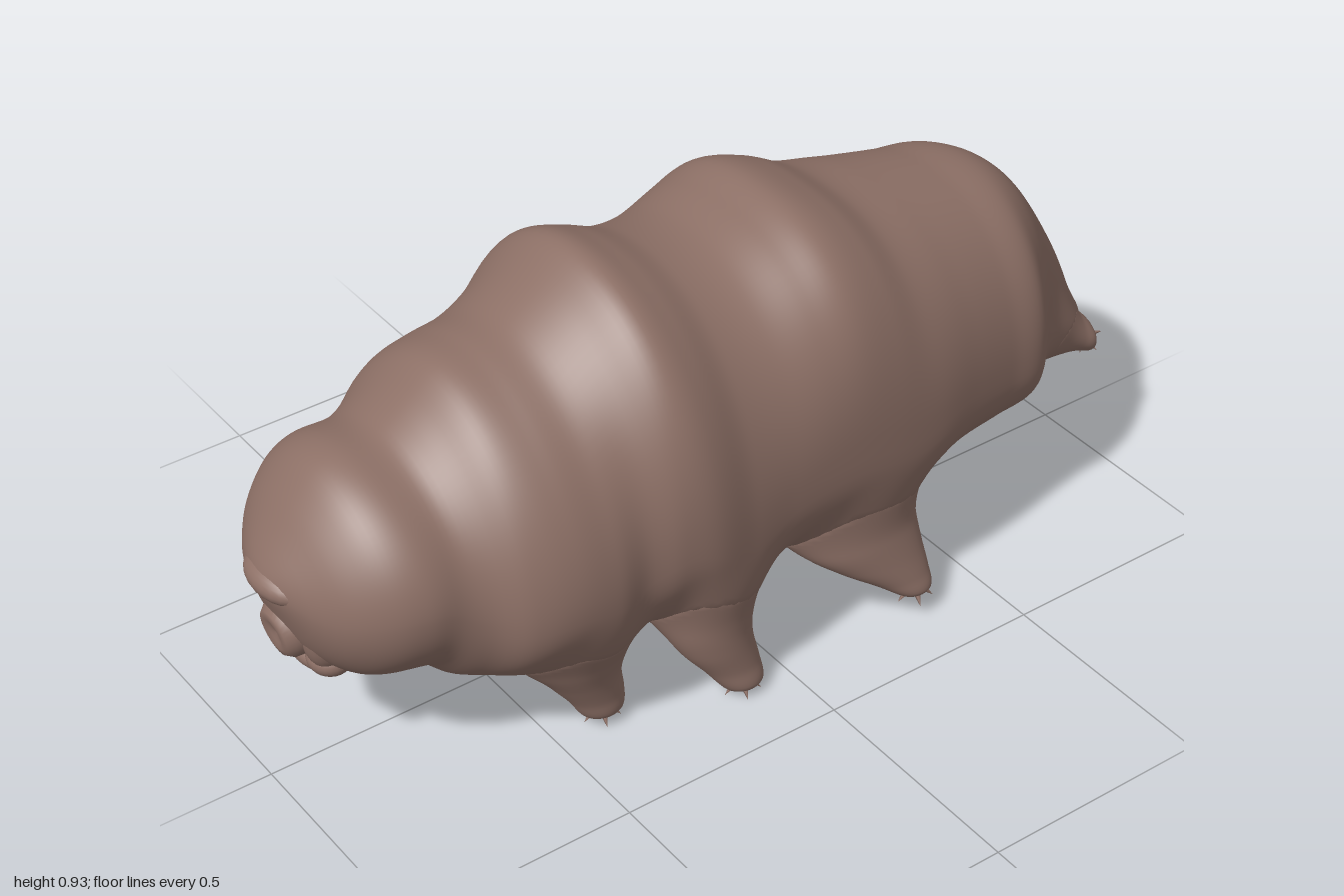
import * as THREE from 'three';

const skin = new THREE.MeshStandardMaterial({ color: 0x8d7066 });
skin.name = 'brown skin';

const V = (x, y, z) => new THREE.Vector3(x, y, z);

// Closed smooth surface through a list of equally sized rings
function loft(rings) {
  const n = rings[0].length, pos = [], idx = [];
  rings.forEach(r => r.forEach(p => pos.push(p.x, p.y, p.z)));
  for (let i = 0; i < rings.length - 1; i++) {
    for (let j = 0; j < n; j++) {
      const k = (j + 1) % n;
      const a = i * n + j, b = i * n + k, c = a + n, d = b + n;
      idx.push(a, b, c, b, d, c);
    }
  }
  for (const [i, flip] of [[0, true], [rings.length - 1, false]]) {
    const mid = rings[i].reduce((s, p) => s.add(p), V(0, 0, 0)).divideScalar(n);
    const m = pos.length / 3;
    pos.push(mid.x, mid.y, mid.z);
    for (let j = 0; j < n; j++) {
      const a = i * n + j, b = i * n + (j + 1) % n;
      idx.push(...(flip ? [m, b, a] : [m, a, b]));
    }
  }
  const g = new THREE.BufferGeometry();
  g.setAttribute('position', new THREE.Float32BufferAttribute(pos, 3));
  g.setIndex(idx);
  g.computeVertexNormals();
  return g;
}

// Swells a surface near another one, so that the two meet in a soft fillet
function fillet(g, distance, k = 0.08) {
  const { position, normal } = g.attributes, p = V(0, 0, 0), n = V(0, 0, 0);
  for (let i = 0; i < position.count; i++) {
    p.fromBufferAttribute(position, i);
    n.fromBufferAttribute(normal, i);
    p.addScaledVector(n, Math.max(k - Math.abs(distance(p)), 0) ** 2 / (4 * k));
    position.setXYZ(i, p.x, p.y, p.z);
  }
  g.computeVertexNormals();
  return g;
}

// Smooth curve through [position, value] pairs, sampled by position
function profile(points) {
  return t => {
    let i = 0;
    while (i < points.length - 2 && t > points[i + 1][0]) i++;
    const slope = k => {
      const a = points[Math.max(k - 1, 0)], b = points[Math.min(k + 1, points.length - 1)];
      return (b[1] - a[1]) / (b[0] - a[0]);
    };
    const [t0, v0] = points[i], [t1, v1] = points[i + 1];
    const h = t1 - t0, u = THREE.MathUtils.clamp((t - t0) / h, 0, 1);
    return v0 * (1 + 2 * u) * (1 - u) ** 2 + slope(i) * h * u * (1 - u) ** 2
      + v1 * u * u * (3 - 2 * u) + slope(i + 1) * h * u * u * (u - 1);
  };
}

function mesh(name, geometry, parent) {
  const m = new THREE.Mesh(geometry, skin);
  m.name = name;
  parent.add(m);
  return m;
}

function blob(name, parent, center, size) {
  const m = mesh(name, new THREE.SphereGeometry(1, 24, 16), parent);
  m.position.set(...center);
  m.scale.set(...size);
}

// Back line, belly line, half width and roundness of the upper and lower halves along z
const back = profile([[-0.97, 0.40], [-0.94, 0.48], [-0.88, 0.61], [-0.8, 0.735], [-0.72, 0.795],
  [-0.6, 0.815], [-0.45, 0.84], [-0.35, 0.86], [-0.27, 0.9], [-0.18, 0.925], [-0.1, 0.905],
  [0, 0.882], [0.1, 0.89], [0.18, 0.92], [0.26, 0.938], [0.34, 0.885], [0.42, 0.832], [0.5, 0.815],
  [0.58, 0.8], [0.65, 0.745], [0.71, 0.705], [0.8, 0.7], [0.85, 0.68], [0.9, 0.63], [0.94, 0.575],
  [0.97, 0.53], [0.985, 0.5]]);
const belly = profile([[-0.97, 0.34], [-0.9, 0.3], [-0.8, 0.275], [-0.6, 0.265], [-0.45, 0.26],
  [-0.3, 0.2], [-0.1, 0.215], [0, 0.2], [0.12, 0.137], [0.25, 0.195], [0.4, 0.16], [0.5, 0.185],
  [0.6, 0.175], [0.68, 0.185], [0.74, 0.235], [0.85, 0.25], [0.9, 0.285], [0.94, 0.34],
  [0.97, 0.42], [0.985, 0.46]]);
const width = profile([[-0.97, 0.09], [-0.9, 0.145], [-0.82, 0.187], [-0.75, 0.248], [-0.69, 0.3],
  [-0.6, 0.312], [-0.5, 0.33], [-0.38, 0.354], [-0.25, 0.365], [0, 0.366], [0.1, 0.378], [0.2, 0.394],
  [0.28, 0.382], [0.35, 0.363], [0.42, 0.374], [0.52, 0.37], [0.6, 0.347], [0.66, 0.305], [0.71, 0.287],
  [0.78, 0.279], [0.84, 0.255], [0.9, 0.205], [0.94, 0.145], [0.97, 0.08], [0.985, 0.03]]);
const upperRoundness = profile([[-0.97, 2], [-0.5, 2.2], [-0.2, 2.55], [0, 2.15], [0.26, 2.08], [0.45, 1.88], [0.985, 1.9]]);
const lowerRoundness = profile([[-0.97, 2.1], [-0.6, 2.5], [0.25, 2.5], [0.6, 2.2], [0.985, 1.9]]);

// Cross-section at z: widest height, half width, and height and exponent above and below
function section(z) {
  const top = back(z), low = belly(z);
  const mid = low + (top - low) * (0.37 + 0.12 * THREE.MathUtils.smoothstep(z, 0.56, 0.76));
  return { mid, w: width(z), above: [top - mid, upperRoundness(z)], below: [mid - low, lowerRoundness(z)] };
}

function bodyRing(z, n = 96) {
  const { mid, w, above, below } = section(z);
  return Array.from({ length: n }, (_, j) => {
    const a = j / n * Math.PI * 2, c = Math.cos(a), s = Math.sin(a);
    const [h, e] = s > 0 ? above : below;
    return V(w * Math.sign(c) * Math.abs(c) ** (2 / e), mid + h * Math.sign(s) * Math.abs(s) ** (2 / e), z);
  });
}

function bodyDistance(p) {
  const { mid, w, above, below } = section(THREE.MathUtils.clamp(p.z, -0.97, 0.985));
  const dy = p.y - mid, [h, e] = dy > 0 ? above : below;
  const r = (Math.abs(p.x / w) ** e + Math.abs(dy / h) ** e) ** (1 / e);
  return Math.hypot(p.x, dy) * (1 - 1 / Math.max(r, 0.01));
}

// Leg sections from foot to root: position along the leg, x, other offset, two radii.
// Walking legs run along y and offset in z; hind legs run along z and offset in y.
const legs = [
  { name: 'frontLeg', rows: [[0.025, 0.24, 0.385, 0.025, 0.03], [0.04, 0.24, 0.385, 0.04, 0.048],
    [0.08, 0.235, 0.395, 0.048, 0.062], [0.13, 0.225, 0.415, 0.066, 0.08], [0.19, 0.215, 0.43, 0.09, 0.11],
    [0.28, 0.2, 0.435, 0.115, 0.13], [0.42, 0.17, 0.44, 0.11, 0.11]] },
  { name: 'middleLeg', rows: [[0.02, 0.335, 0.108, 0.025, 0.03], [0.035, 0.335, 0.108, 0.04, 0.047],
    [0.08, 0.322, 0.125, 0.047, 0.063], [0.14, 0.305, 0.152, 0.062, 0.083], [0.21, 0.28, 0.165, 0.083, 0.105],
    [0.3, 0.245, 0.165, 0.105, 0.115], [0.42, 0.19, 0.17, 0.11, 0.11]] },
  { name: 'backLeg', rows: [[0.06, 0.35, -0.325, 0.02, 0.025], [0.075, 0.35, -0.322, 0.033, 0.043],
    [0.11, 0.33, -0.3, 0.045, 0.07], [0.16, 0.303, -0.263, 0.06, 0.108], [0.22, 0.27, -0.23, 0.08, 0.145],
    [0.3, 0.23, -0.225, 0.1, 0.16], [0.42, 0.18, -0.23, 0.1, 0.14]] },
  { name: 'hindLeg', hind: true, rows: [[-0.985, 0.13, 0.31, 0.02, 0.018], [-0.972, 0.13, 0.315, 0.037, 0.036],
    [-0.94, 0.125, 0.33, 0.042, 0.042], [-0.89, 0.112, 0.355, 0.048, 0.058], [-0.82, 0.09, 0.39, 0.07, 0.08],
    [-0.7, 0.08, 0.42, 0.1, 0.1]] },
].map(leg => ({ ...leg, curves: [1, 2, 3, 4].map(k => profile(leg.rows.map(r => [r[0], r[k]]))) }));

function legGeometry({ hind, rows, curves }, side) {
  const start = rows[0][0], length = rows[rows.length - 1][0] - start;
  return loft(Array.from({ length: 41 }, (_, i) => {
    const t = start + length * (i / 40) ** 1.4;
    const [x, o, rx, ro] = curves.map(f => f(t));
    return Array.from({ length: 40 }, (_, j) => {
      const a = j / 40 * Math.PI * 2, px = side * x + rx * Math.cos(a), s = ro * Math.sin(a);
      return hind ? V(px, o + s, t) : V(px, t, o - s);
    });
  }));
}

function legDistance({ hind, rows, curves }, p) {
  const t = hind ? p.z : p.y, over = Math.max(t - rows[rows.length - 1][0], rows[0][0] - t, 0);
  const [x, o, rx, ro] = curves.map(f => f(t));
  const dx = Math.abs(p.x) - x, d = (hind ? p.y : p.z) - o;
  const flat = Math.hypot(dx, d) * (1 - 1 / Math.max(Math.hypot(dx / rx, d / ro), 0.01));
  return over > 0 ? Math.hypot(Math.max(flat, 0), over) : flat;
}

// Fan of little claws around a foot
function claws(parent, center, radius, axis) {
  const g = new THREE.Group();
  g.name = 'claws';
  for (let i = 0; i < 5; i++) {
    const a = i / 5 * Math.PI * 2 + 0.3;
    const claw = mesh('claw', new THREE.ConeGeometry(0.009, 0.034, 6), g);
    claw.quaternion.setFromUnitVectors(V(0, 1, 0), V(Math.cos(a) * 0.8, -0.7, Math.sin(a) * 0.8).normalize());
    claw.position.set(Math.cos(a) * radius, 0, Math.sin(a) * radius);
  }
  g.position.copy(center);
  g.quaternion.setFromUnitVectors(V(0, -1, 0), axis);
  parent.add(g);
}

export function createModel() {
  const model = new THREE.Group();
  model.name = 'plump eight-legged creature';

  // Segmented body and head, swelling softly into the legs
  const rings = Array.from({ length: 161 }, (_, i) => bodyRing(-0.97 + 1.955 * i / 160));
  mesh('body', fillet(loft(rings), p => Math.min(...legs.map(leg => Math.abs(legDistance(leg, p))))), model);

  for (const side of [1, -1]) {
    const label = side > 0 ? 'left ' : 'right ';
    // Three pairs of walking legs and a stubby hind pair
    for (const leg of legs) {
      const group = new THREE.Group();
      group.name = label + leg.name;
      mesh('leg', fillet(legGeometry(leg, side), bodyDistance), group);
      const [t, x, o] = leg.rows[0];
      if (leg.hind) claws(group, V(side * x, o - 0.005, t + 0.01), 0.024, V(0, -0.6, -0.8));
      else claws(group, V(side * x, t, o), 0.028, V(0, -1, 0));
      model.add(group);
    }

    // Folds framing the mouth
    blob(label + 'cheek', model, [side * 0.065, 0.37, 0.89], [0.05, 0.09, 0.05]);
    blob(label + 'jowl', model, [side * 0.055, 0.29, 0.88], [0.05, 0.035, 0.045]);
  }

  // Overhanging brow, snout with an open mouth, and chin
  blob('brow', model, [0, 0.48, 0.938], [0.095, 0.04, 0.06]);
  const snout = [[0.066, -0.08], [0.064, 0], [0.06, 0.025], [0.048, 0.04], [0.034, 0.043], [0.022, 0.038], [0, 0.034]];
  const mouth = mesh('snout', new THREE.LatheGeometry(snout.map(p => new THREE.Vector2(...p)), 32), model);
  mouth.rotation.x = Math.PI / 2 + 0.15;
  mouth.position.set(0, 0.355, 0.925);
  blob('upper lip', model, [0, 0.405, 0.93], [0.06, 0.03, 0.035]);
  blob('chin', model, [0, 0.275, 0.88], [0.075, 0.032, 0.045]);

  return model;
}
